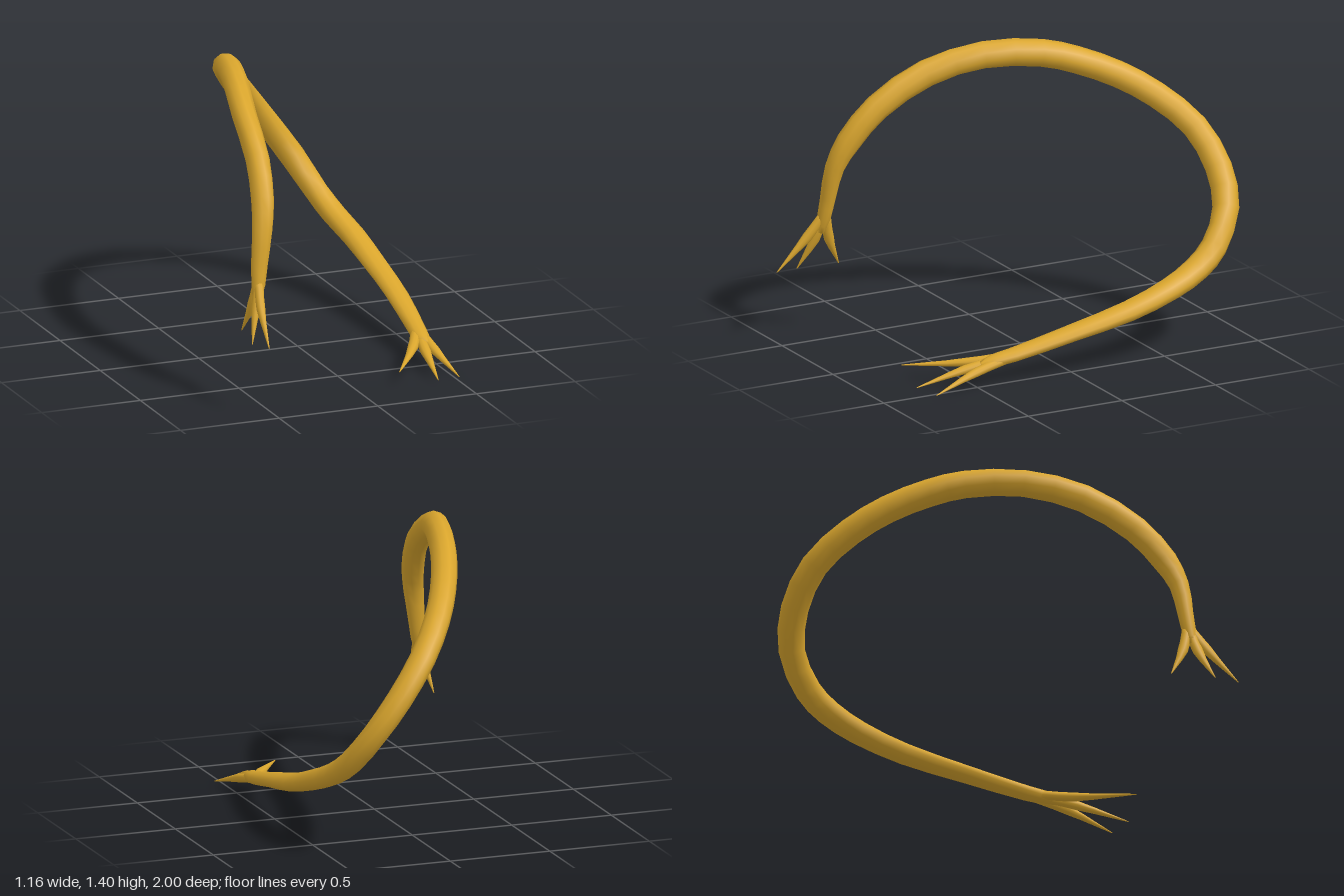
import * as THREE from 'three';

const SIDES = 10;

// Lofts elliptical rings along keys [x, y, z, a, b]; a is the radius along the
// reference direction (blended from refA to refB), b the radius across it.
function loft(keys, refA, refB, steps) {
  const curve = new THREE.CatmullRomCurve3(keys.map(k => new THREE.Vector3(k[0], k[1], k[2])));
  const n = (keys.length - 1) * steps;
  const pos = [], index = [];
  for (let i = 0; i <= n; i++) {
    const u = i / n;
    const p = curve.getPoint(u), t = curve.getTangent(u);
    const k = Math.min(Math.floor(i / steps), keys.length - 2), f = i / steps - k;
    const a = THREE.MathUtils.lerp(keys[k][3], keys[k + 1][3], f);
    const b = THREE.MathUtils.lerp(keys[k][4], keys[k + 1][4], f);
    const s = refA.clone().lerp(refB, u);
    s.addScaledVector(t, -s.dot(t)).normalize();
    const w = t.clone().cross(s);
    for (let j = 0; j < SIDES; j++) {
      const q = j / SIDES * Math.PI * 2;
      const v = p.clone().addScaledVector(s, a * Math.cos(q)).addScaledVector(w, b * Math.sin(q));
      pos.push(v.x, v.y, v.z);
    }
  }
  for (let i = 0; i < n; i++) {
    for (let j = 0; j < SIDES; j++) {
      const j2 = (j + 1) % SIDES, r = i * SIDES, r2 = r + SIDES;
      index.push(r + j, r + j2, r2 + j, r + j2, r2 + j2, r2 + j);
    }
  }
  // end caps
  const last = n * SIDES;
  for (let j = 1; j < SIDES - 1; j++) index.push(0, j + 1, j, last, last + j, last + j + 1);
  const g = new THREE.BufferGeometry();
  g.setAttribute('position', new THREE.Float32BufferAttribute(pos, 3));
  g.setIndex(index);
  g.computeVertexNormals();
  return g;
}

export function createModel() {
  const group = new THREE.Group();
  const gold = new THREE.MeshStandardMaterial({ color: 0xdaa62d });
  gold.name = 'gold';
  const X = new THREE.Vector3(1, 0, 0), Y = new THREE.Vector3(0, 1, 0);
  const add = (name, geometry) => {
    const m = new THREE.Mesh(geometry, gold);
    m.name = name;
    group.add(m);
  };

  // long bent limb, from the raised foot round to the resting foot
  add('limb', loft([
    [-0.525, 0.53, 0.785, 0.02, 0.022],
    [-0.512, 0.6, 0.77, 0.034, 0.033],
    [-0.5, 0.7, 0.755, 0.042, 0.037],
    [-0.477, 0.85, 0.732, 0.05, 0.046],
    [-0.45, 0.98, 0.67, 0.055, 0.06],
    [-0.42, 1.135, 0.535, 0.057, 0.063],
    [-0.387, 1.275, 0.29, 0.058, 0.066],
    [-0.32, 1.343, 0.02, 0.06, 0.066],
    [-0.245, 1.332, -0.25, 0.06, 0.066],
    [-0.195, 1.287, -0.41, 0.06, 0.066],
    [-0.12, 1.21, -0.59, 0.06, 0.066],
    [-0.03, 1.11, -0.745, 0.06, 0.066],
    [0.095, 0.97, -0.882, 0.06, 0.066],
    [0.23, 0.8, -0.935, 0.06, 0.066],
    [0.345, 0.635, -0.912, 0.06, 0.064],
    [0.425, 0.48, -0.805, 0.057, 0.063],
    [0.465, 0.4, -0.69, 0.054, 0.064],
    [0.5, 0.335, -0.53, 0.05, 0.064],
    [0.514, 0.265, -0.3, 0.043, 0.063],
    [0.505, 0.2, 0, 0.035, 0.057],
    [0.478, 0.133, 0.29, 0.032, 0.046],
    [0.465, 0.115, 0.39, 0.029, 0.042],
    [0.458, 0.1, 0.46, 0.018, 0.022],
  ], X, Y, 2));

  // three pointed toes fanning out of each end: root, knuckle, tip
  const toes = {
    raisedToe: [X, [
      [[-0.51, 0.62, 0.767], [-0.532, 0.51, 0.85], [-0.55, 0.355, 1.0]],
      [[-0.51, 0.62, 0.767], [-0.54, 0.49, 0.805], [-0.585, 0.345, 0.875]],
      [[-0.51, 0.62, 0.762], [-0.53, 0.49, 0.733], [-0.555, 0.35, 0.668]],
    ]],
    restingToe: [Y, [
      [[0.465, 0.125, 0.33], [0.385, 0.1, 0.49], [0.212, 0.076, 0.75]],
      [[0.47, 0.12, 0.34], [0.435, 0.083, 0.53], [0.4, 0.02, 0.77]],
      [[0.485, 0.12, 0.33], [0.49, 0.08, 0.5], [0.522, 0.01, 0.73]],
    ]],
  };
  for (const [name, [ref, list]] of Object.entries(toes)) {
    list.forEach((pts, i) => {
      const r = [[0.022, 0.024], [0.021, 0.025], [0.002, 0.002]];
      add(name + (i + 1), loft(pts.map((p, k) => [...p, ...r[k]]), ref, ref, 3));
    });
  }
  return group;
}
